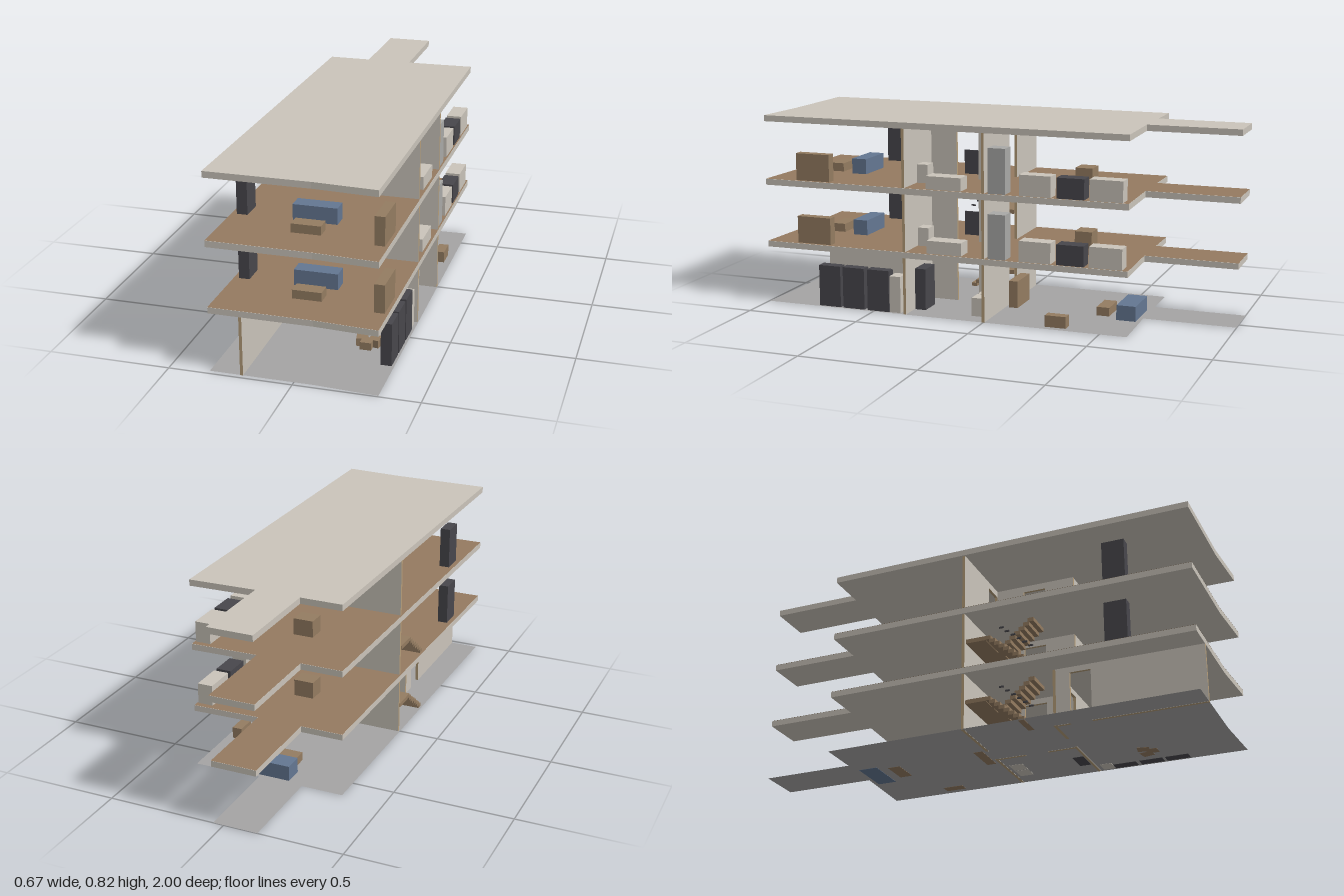
import * as THREE from 'three';

export function createModel() {
  const model = new THREE.Group();
  const mat = (name, color, side = THREE.FrontSide) => {
    const m = new THREE.MeshStandardMaterial({ color, side });
    m.name = name;
    return m;
  };
  const plaster = mat('plaster', 0xcac4ba);
  const wallEdge = mat('wallEdge', 0xb59d79);
  const floorWood = mat('floorWood', 0x957a60, THREE.DoubleSide);
  const wood = mat('wood', 0x947c61);
  const dark = mat('darkFurniture', 0x48474c);
  const blue = mat('blueFabric', 0x647792);
  const paving = mat('paving', 0xa5a4a4, THREE.DoubleSide);
  const grey = mat('greyCabinet', 0xa9a9a7);
  const T = 0.012, STOREY = 0.245;

  const add = (parent, name, geo, material) => {
    const m = new THREE.Mesh(geo, material);
    m.name = name;
    parent.add(m);
    return m;
  };
  // Box given by its extents in x, y and z
  const box = (parent, name, material, [x0, x1], [y0, y1], [z0, z1]) => {
    const m = add(parent, name, new THREE.BoxGeometry(x1 - x0, y1 - y0, Math.abs(z1 - z0)), material);
    m.position.set((x0 + x1) / 2, (y0 + y1) / 2, (z0 + z1) / 2);
    return m;
  };

  // Footprint shared by every slab (shape y is -z)
  const outline = new THREE.Shape([
    [-0.338, 0.98], [0.08, 0.98], [0.335, 0.995], [0.33, -0.615], [0.045, -0.607],
    [0.045, -1], [-0.145, -1], [-0.145, -0.607], [-0.322, -0.607],
  ].map(([x, z]) => new THREE.Vector2(x, -z)));
  const flat = (parent, name, geo, material, y) => {
    const m = add(parent, name, geo.rotateX(-Math.PI / 2), material);
    m.position.y = y;
  };
  const slab = (parent, name, y, h) =>
    flat(parent, name, new THREE.ExtrudeGeometry(outline, { depth: h, bevelEnabled: false }), plaster, y);

  // Wall with doors cut from its foot; plaster faces and tan edges
  const wall = (parent, name, axis, pos, a, b, y, h, doors = [], doorH = 0.221) => {
    const pts = [[a, 0]];
    for (const [d0, d1] of doors) pts.push([d0, 0], [d0, doorH], [d1, doorH], [d1, 0]);
    pts.push([b, 0], [b, h], [a, h]);
    const shape = new THREE.Shape(pts.map(([u, v]) => new THREE.Vector2(u, v)));
    const geo = new THREE.ExtrudeGeometry(shape, { depth: T, bevelEnabled: false });
    const m = add(parent, name, geo, [plaster, wallEdge]);
    if (axis === 'z') {
      m.rotation.y = -Math.PI / 2;
      m.position.set(pos + T, y, 0);
    } else m.position.set(0, y, pos);
  };

  // Two flights of open treads, a half landing and a stepped handrail
  const stairs = (y) => {
    const g = new THREE.Group();
    g.name = 'stairs';
    g.position.y = y;
    model.add(g);
    const n = 8, rise = 0.0158, run = 0.0205;
    for (let i = 0; i < n; i++) {
      const z1 = 0.265 - i * run;
      box(g, 'lowerTread', wood, [-0.322, -0.21], [i * rise, (i + 1) * rise], [z1 - 0.026, z1]);
      const z2 = 0.09 + i * run, y2 = 0.109 + i * 0.017;
      box(g, 'upperTread', wood, [-0.19, -0.075], [y2, y2 + 0.017], [z2, z2 + 0.026]);
    }
    box(g, 'landing', wood, [-0.322, -0.075], [0.109, 0.127], [0.012, 0.1]);
    for (let i = 0; i < 6; i++) {
      const z = 0.265 - i * 0.026, h = 0.102 + i * 0.0212;
      box(g, 'handrailPiece', dark, [-0.217, -0.211], [h, h + 0.006], [z - 0.02, z]);
    }
  };

  const DOOR_X = [-0.067, 0.027], DOOR_Z = [0.13, 0.23];

  // Ground storey
  const ground = new THREE.Group();
  ground.name = 'groundStorey';
  model.add(ground);
  flat(ground, 'groundPaving', new THREE.ShapeGeometry(outline), paving, 0.001);
  wall(ground, 'rearWall', 'x', -0.006, -0.322, 0.33, 0, STOREY, [DOOR_X]);
  wall(ground, 'middleWall', 'x', 0.348, -0.215, 0.33, 0, STOREY, [DOOR_X]);
  wall(ground, 'coreWall', 'z', 0.03, 0.006, 0.348, 0, STOREY, [DOOR_Z]);
  wall(ground, 'passageWall', 'z', -0.215, 0.36, 0.98, 0, STOREY, [[0.42, 0.51]]);
  for (const z of [0.43, 0.545, 0.657])
    box(ground, 'tallCabinet', dark, [0.28, 0.324], [0, 0.18], [z, z + 0.1]);
  box(ground, 'lightCabinet', plaster, [0.258, 0.32], [0, 0.158], [0.378, 0.428]);
  box(ground, 'utilityRack', dark, [0.14, 0.24], [0, 0.18], [0.297, 0.345]);
  for (const x of [0.12, 0.19])
    box(ground, 'washer', plaster, [x, x + 0.065], [0, 0.08], [0.02, 0.08]);
  [[0.163, 0.6, 0.2], [0.19, 0.63, 0], [0.218, 0.6, -0.2]].forEach(([x, z, turn]) => {
    box(ground, 'crate', wood, [x - 0.023, x + 0.023], [0, 0.033], [z - 0.025, z + 0.025]).rotation.y = turn;
  });
  box(ground, 'sideboard', wood, [-0.075, 0.075], [0, 0.118], [-0.06, -0.02]);
  box(ground, 'lowChest', wood, [0.26, 0.302], [0, 0.05], [-0.35, -0.26]);
  box(ground, 'coffeeTable', wood, [-0.055, 0.065], [0, 0.038], [-0.465, -0.41]);
  box(ground, 'sofa', blue, [-0.08, 0.105], [0, 0.065], [-0.59, -0.507]);
  stairs(0);

  // Two equal apartments
  [[0.245, 0.27], [0.517, 0.543]].forEach(([bottom, top], i) => {
    const g = new THREE.Group();
    g.name = `apartment${i + 1}`;
    model.add(g);
    const h = (i ? 0.792 : 0.517) - top;
    slab(g, 'floorSlab', bottom, top - bottom);
    flat(g, 'woodFloor', new THREE.ShapeGeometry(outline), floorWood, top + 0.0008);
    wall(g, 'rearWall', 'x', -0.006, -0.322, 0.33, top, h, [DOOR_X]);
    wall(g, 'middleWall', 'x', 0.348, 0.042, 0.33, top, h);
    wall(g, 'coreWall', 'z', 0.03, 0.006, 0.36, top, h, [DOOR_Z]);
    const item = (name, material, x, height, z) => box(g, name, material, x, [top, top + height], z);
    // Living room
    item('wardrobe', dark, [-0.314, -0.27], 0.18, [0.605, 0.7]);
    item('sofa', blue, [-0.085, 0.094], 0.067, [0.637, 0.703]);
    item('coffeeTable', wood, [-0.055, 0.064], 0.037, [0.76, 0.82]);
    item('bookcase', wood, [0.28, 0.321], 0.117, [0.7, 0.855]);
    // Stair guard and bathroom
    item('stairGuard', dark, [-0.08, -0.073], 0.106, [0.12, 0.24]);
    item('bathtub', plaster, [0.25, 0.322], 0.056, [0.1, 0.255]);
    item('washstand', plaster, [0.14, 0.2], 0.08, [0.298, 0.347]);
    // Kitchen
    item('fridge', grey, [0.26, 0.325], 0.189, [-0.095, -0.02]);
    item('counter', plaster, [0.26, 0.325], 0.088, [-0.29, -0.155]);
    item('stove', dark, [0.26, 0.325], 0.086, [-0.43, -0.315]);
    item('counter', plaster, [0.26, 0.325], 0.088, [-0.59, -0.452]);
    item('diningTable', wood, [-0.085, 0], 0.071, [-0.365, -0.29]);
  });
  stairs(0.27);

  slab(model, 'roofSlab', 0.792, 0.026);
  return model;
}
